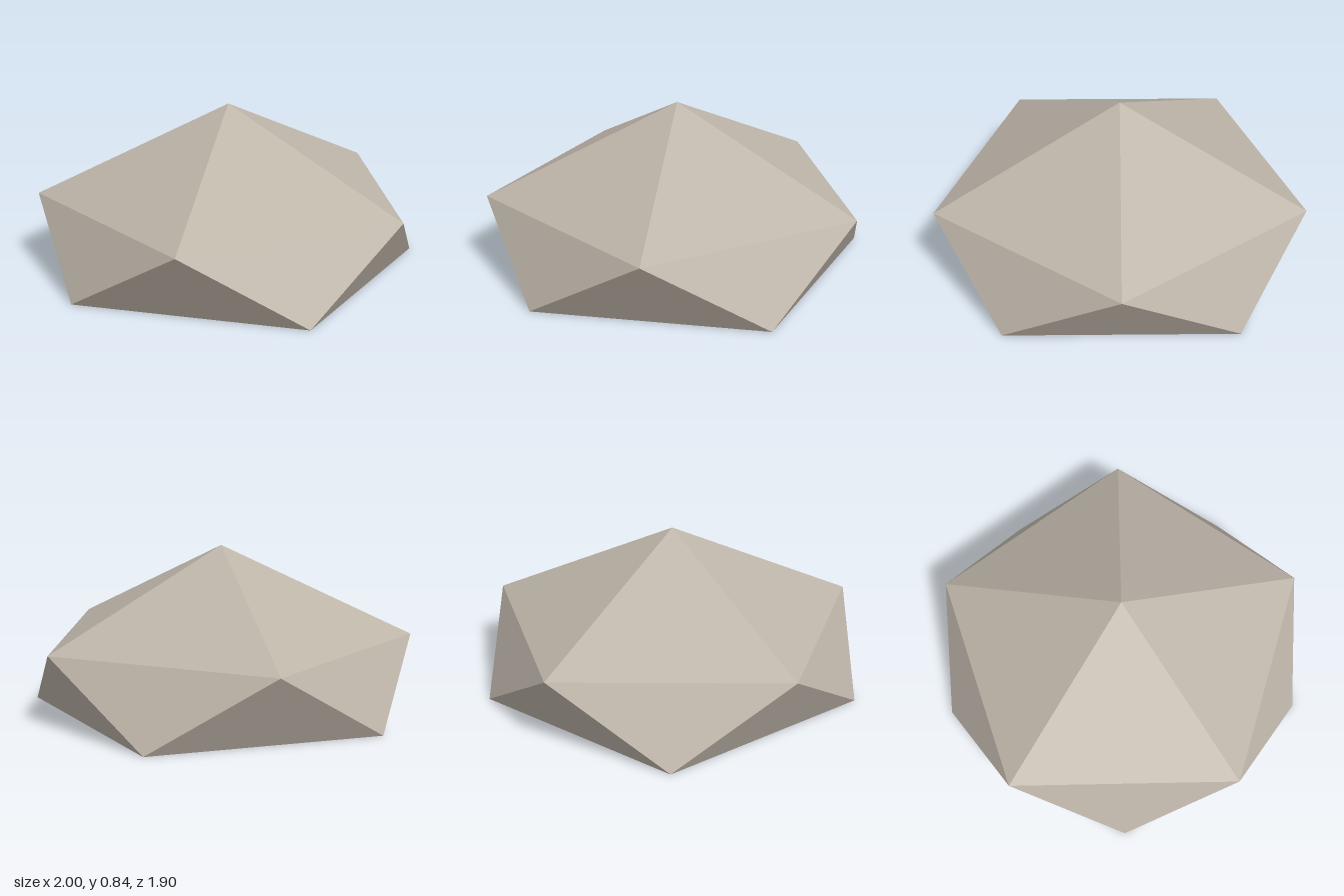
import * as THREE from 'three';

const SIDES = 5;
const SHOULDER = 0.375;
const PEAK = 0.84;

// Point on a unit ring, counted in steps of 72 degrees seen from above
function ringPoint(step, y) {
  const a = (step * Math.PI * 2) / SIDES;
  return [Math.cos(a), y, -Math.sin(a)];
}

export function createModel() {
  const stone = new THREE.MeshStandardMaterial({ color: 0xbdb4a8, flatShading: true });
  stone.name = 'pale warm grey stone';

  const apex = [0, PEAK, 0];
  const centre = [0, 0, 0];
  const corners = [];
  for (let i = 0; i < SIDES; i++) {
    const upper = ringPoint(i, SHOULDER);
    const nextUpper = ringPoint(i + 1, SHOULDER);
    const lower = ringPoint(i + 0.5, 0);
    const nextLower = ringPoint(i + 1.5, 0);
    corners.push(apex, upper, nextUpper); // sloping cap
    corners.push(upper, lower, nextUpper); // side pointing down
    corners.push(lower, nextLower, nextUpper); // side pointing up
    corners.push(centre, nextLower, lower); // flat underside
  }

  const geometry = new THREE.BufferGeometry();
  geometry.setAttribute('position', new THREE.Float32BufferAttribute(corners.flat(), 3));
  geometry.computeVertexNormals();

  const rock = new THREE.Mesh(geometry, stone);
  rock.name = 'rock';
  const group = new THREE.Group();
  group.name = 'facetedRock';
  group.add(rock);
  return group;
}
